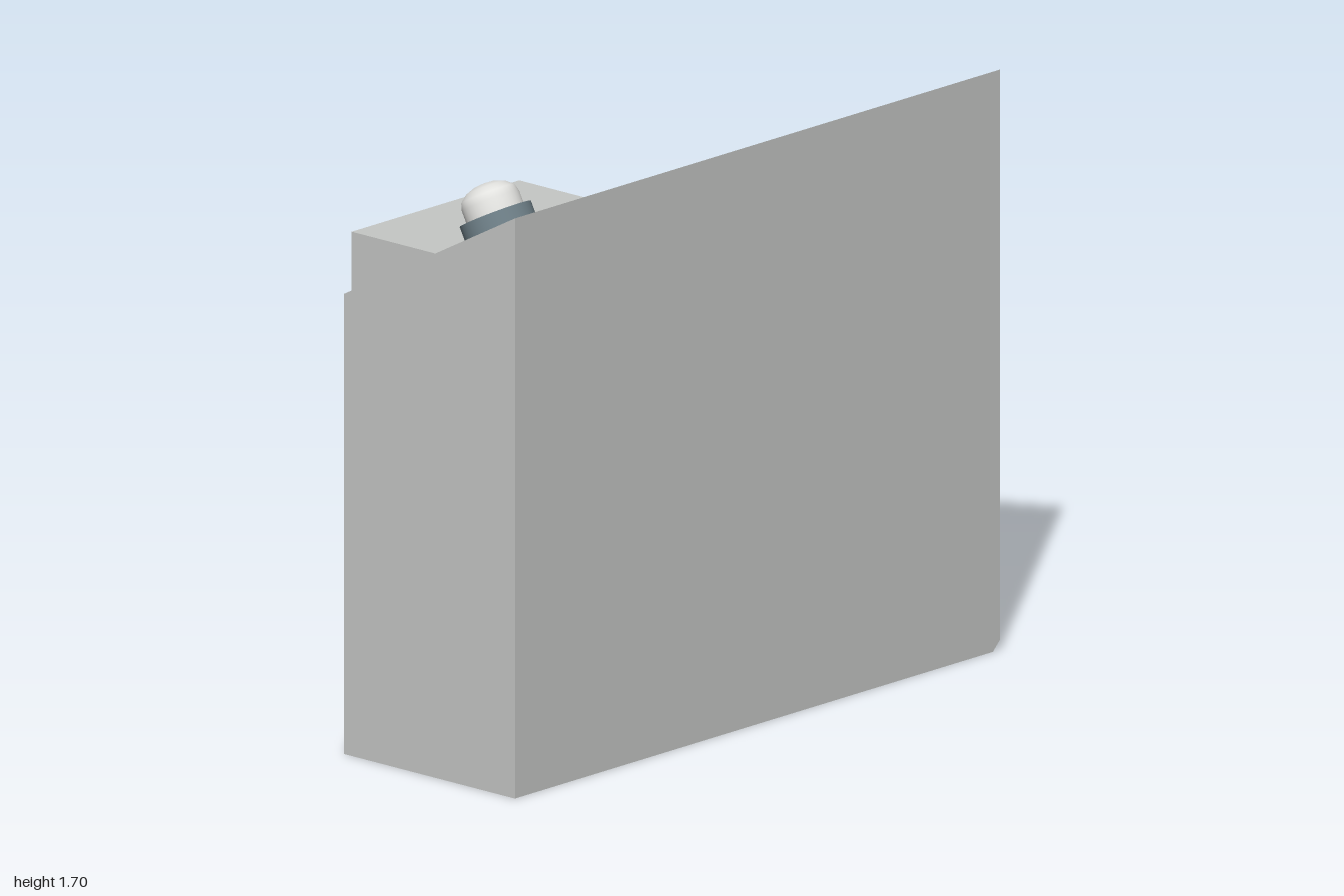
import * as THREE from 'three';

const paint = (name, color) => Object.assign(new THREE.MeshStandardMaterial({ color }), { name });

const outline = pts => pts.map(([a, b]) => new THREE.Vector2(a, b));

// Prism with an x-y section running from z0 to z1
function alongZ(pts, z0, z1) {
  const geo = new THREE.ExtrudeGeometry(new THREE.Shape(outline(pts)), { depth: z1 - z0, bevelEnabled: false });
  return geo.translate(0, 0, z0);
}

// Prism with a z-y section running from x0 to x1, optionally with a hole
function alongX(pts, x0, x1, hole) {
  const flip = list => outline(list.map(([z, y]) => [-z, y]));
  const shape = new THREE.Shape(flip(pts));
  if (hole) shape.holes.push(new THREE.Path(flip(hole)));
  const geo = new THREE.ExtrudeGeometry(shape, { depth: x1 - x0, bevelEnabled: false });
  return geo.rotateY(Math.PI / 2).translate(x0, 0, 0);
}

export function createModel() {
  const model = new THREE.Group();
  model.name = 'cabinet';
  const grey = paint('light grey', 0xc6c8c6);
  const slate = paint('slate blue', 0x6d7e86);
  const white = paint('off white', 0xe2e2df);

  const add = (name, geo, mat, parent = model) => {
    const mesh = new THREE.Mesh(geo, mat);
    mesh.name = name;
    parent.add(mesh);
    return mesh;
  };

  // Sloping-roof body, cut back behind the side box
  const roof = x => 1.34 + (x + 0.28) * 0.5385;
  const section = x => [[x, 0], [0.37, 0], [0.37, roof(0.37)], [x, roof(x)]];
  add('bodyFront', alongZ(section(-0.28), 0.87, 1), grey);
  add('bodyMiddle', alongZ(section(-0.05), 0.18, 0.87), grey);
  add('bodyRear', alongZ(section(-0.28), -0.97, 0.18), grey);

  // Rear slab with a chamfered bottom edge
  const slab = alongZ(section(-0.28), -1, -0.97);
  const pos = slab.attributes.position;
  for (let i = 0; i < pos.count; i++) {
    if (pos.getZ(i) < -0.99 && pos.getY(i) < 0.01) pos.setY(i, 0.03);
  }
  slab.computeVertexNormals();
  add('bodyRearEdge', slab, grey);

  // Side box with a recessed opening
  const opening = s => [
    [0.24 + s, 1.175 + s], [0.817 - s, 1.175 + s], [0.817 - s, 1.413 - s], [0.38, 1.413 - s], [0.24 + s, 1.357 - s],
  ];
  const boxTop = 1.475;
  add('sideBox', alongX([[0.18, 0], [0.87, 0], [0.87, boxTop], [0.18, boxTop]], -0.37, -0.03, opening(0)), grey);

  // Inward-facing lining of the opening
  const lining = new THREE.ExtrudeGeometry(new THREE.Shape(outline(opening(0.002))), { depth: 0.308, bevelEnabled: false });
  lining.rotateY(-Math.PI / 2).scale(-1, 1, 1).translate(-0.369, 0, 0);
  lining.computeVertexNormals();
  add('openingLining', lining, slate);

  // Small gusset at the foot of the side box
  const gusset = new THREE.Shape(outline([[-0.28, -0.15], [-0.28, -0.18], [-0.295, -0.18]]));
  add('footGusset', new THREE.ExtrudeGeometry(gusset, { depth: 0.03, bevelEnabled: false }).rotateX(-Math.PI / 2), grey);

  // Raised side panel with a clipped lower corner
  add('sidePanel', alongX([[-0.88, 1.17], [-0.63, 0.9], [-0.11, 0.9], [-0.11, 1.255], [-0.88, 1.255]], -0.315, -0.275), grey);

  // Beacon standing square to the roof
  const beacon = new THREE.Group();
  beacon.name = 'beacon';
  beacon.position.set(0.135, roof(0.135), 0.8);
  beacon.rotation.z = Math.atan(0.5385);
  model.add(beacon);
  add('beaconBase', new THREE.CylinderGeometry(0.106, 0.106, 0.052, 32).translate(0, 0.025, 0), slate, beacon);
  const dome = outline([[0.085, 0.045], [0.085, 0.09], [0.079, 0.111], [0.058, 0.129], [0.03, 0.139], [0, 0.142]]);
  add('beaconDome', new THREE.LatheGeometry(dome, 32), white, beacon);

  return model;
}
